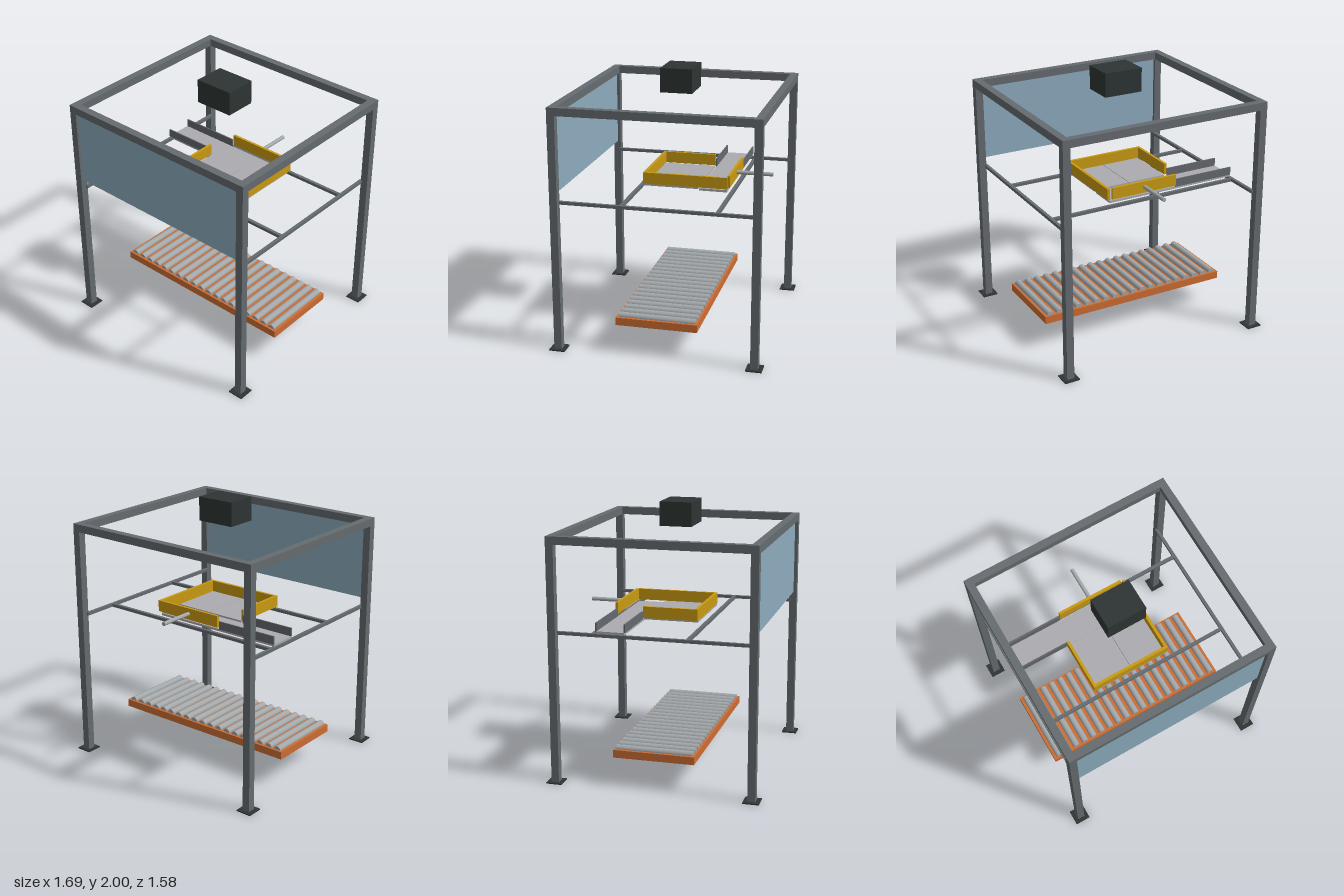
import * as THREE from 'three';

const mat = (name, color) => {
  const m = new THREE.MeshStandardMaterial({ color });
  m.name = name;
  return m;
};

export function createModel() {
  const model = new THREE.Group();
  model.name = 'feedStation';

  const steel = mat('frame grey', 0x656b6f);
  const dark = mat('charcoal', 0x2d3533);
  const glass = mat('pale blue', 0x8cabbd);
  const orange = mat('orange', 0xcd6d33);
  const silver = mat('roller silver', 0xa3a8ab);
  const plate = mat('plate grey', 0xacacb0);
  const yellow = mat('yellow', 0xc99a12);
  const guide = mat('guide grey', 0x64686d);

  const group = (name) => {
    const g = new THREE.Group();
    g.name = name;
    model.add(g);
    return g;
  };
  // Box given by its extents on each axis
  const box = (parent, name, m, [x0, x1], [y0, y1], [z0, z1]) => {
    const mesh = new THREE.Mesh(new THREE.BoxGeometry(x1 - x0, y1 - y0, z1 - z0), m);
    mesh.position.set((x0 + x1) / 2, (y0 + y1) / 2, (z0 + z1) / 2);
    mesh.name = name;
    parent.add(mesh);
  };
  // Round bar along z
  const bar = (parent, name, m, r, x, y, z0, z1) => {
    const mesh = new THREE.Mesh(new THREE.CylinderGeometry(r, r, z1 - z0, 20), m);
    mesh.rotation.x = Math.PI / 2;
    mesh.position.set(x, y, (z0 + z1) / 2);
    mesh.name = name;
    parent.add(mesh);
  };
  const around = (c, half) => [c - half, c + half];

  // Outer frame: posts, feet and top beams
  const frame = group('frame');
  const px = 0.787, pz = 0.73, h = 0.0285;
  for (const sx of [-1, 1]) {
    for (const sz of [-1, 1]) {
      box(frame, 'post', steel, around(sx * px, h), [0.008, 1.762], around(sz * pz, h));
      box(frame, 'foot', dark, around(sx * px, 0.059), [0, 0.008], around(sz * pz, 0.059));
    }
    box(frame, 'sideBeam', steel, around(sx * px, h), [1.762, 1.82], [-pz + h, pz - h]);
    box(frame, 'sideRail', steel, around(sx * 0.757, 0.012), [1.108, 1.131], [-0.715, 0.715]);
  }
  for (const sz of [-1, 1])
    box(frame, 'crossBeam', steel, [-px - h, px + h], [1.762, 1.82], around(sz * pz, h));
  for (const z of [-0.442, 0.251])
    box(frame, 'crossRail', steel, [-0.746, 0.746], [1.108, 1.131], around(z, 0.0125));

  // Front screen and top control box
  box(model, 'screenPanel', glass, [-0.759, 0.759], [1.187, 1.762], around(pz, 0.005));
  box(model, 'controlBox', dark, [-0.15, 0.15], [1.82, 2], [-0.12, 0.12]);

  // Roller conveyor
  const conveyor = group('conveyor');
  box(conveyor, 'conveyorBed', orange, [-0.758, 0.758], [0.217, 0.275], [-0.302, 0.302]);
  for (let i = 0; i < 19; i++)
    bar(conveyor, 'roller', silver, 0.027, (i - 9) * 0.0788, 0.276, -0.286, 0.286);

  // Infeed tray with two side guides
  const tray = group('infeedTray');
  box(tray, 'trayPlate', plate, [-0.758, 0.278], [1.132, 1.149], [-0.412, -0.205]);
  box(tray, 'frontGuide', guide, [-0.758, -0.327], [1.149, 1.21], [-0.21, -0.2]);
  box(tray, 'backGuide', guide, [-0.758, -0.275], [1.149, 1.21], [-0.42, -0.41]);

  // Trap doors under the yellow collecting frame
  const collector = group('collector');
  box(collector, 'leftDoor', plate, [0.002, 0.29], [1.146, 1.16], [-0.2, 0.213]);
  box(collector, 'rightDoor', plate, [-0.305, -0.002], [1.146, 1.16], [-0.2, 0.213]);
  const wallY = [1.162, 1.247];
  box(collector, 'rightWall', yellow, [-0.328, -0.307], wallY, [-0.2, 0.193]);
  box(collector, 'frontWall', yellow, [-0.328, 0.3], wallY, [0.193, 0.215]);
  box(collector, 'leftWall', yellow, [0.278, 0.3], wallY, [-0.42, 0.193]);

  // Pusher and its rod
  const pusher = group('pusher');
  box(pusher, 'pusherPlate', yellow, [-0.267, 0.265], [1.165, 1.252], [-0.432, -0.412]);
  bar(pusher, 'pusherRod', silver, 0.015, 0, 1.21, -0.705, -0.432);

  return model;
}
